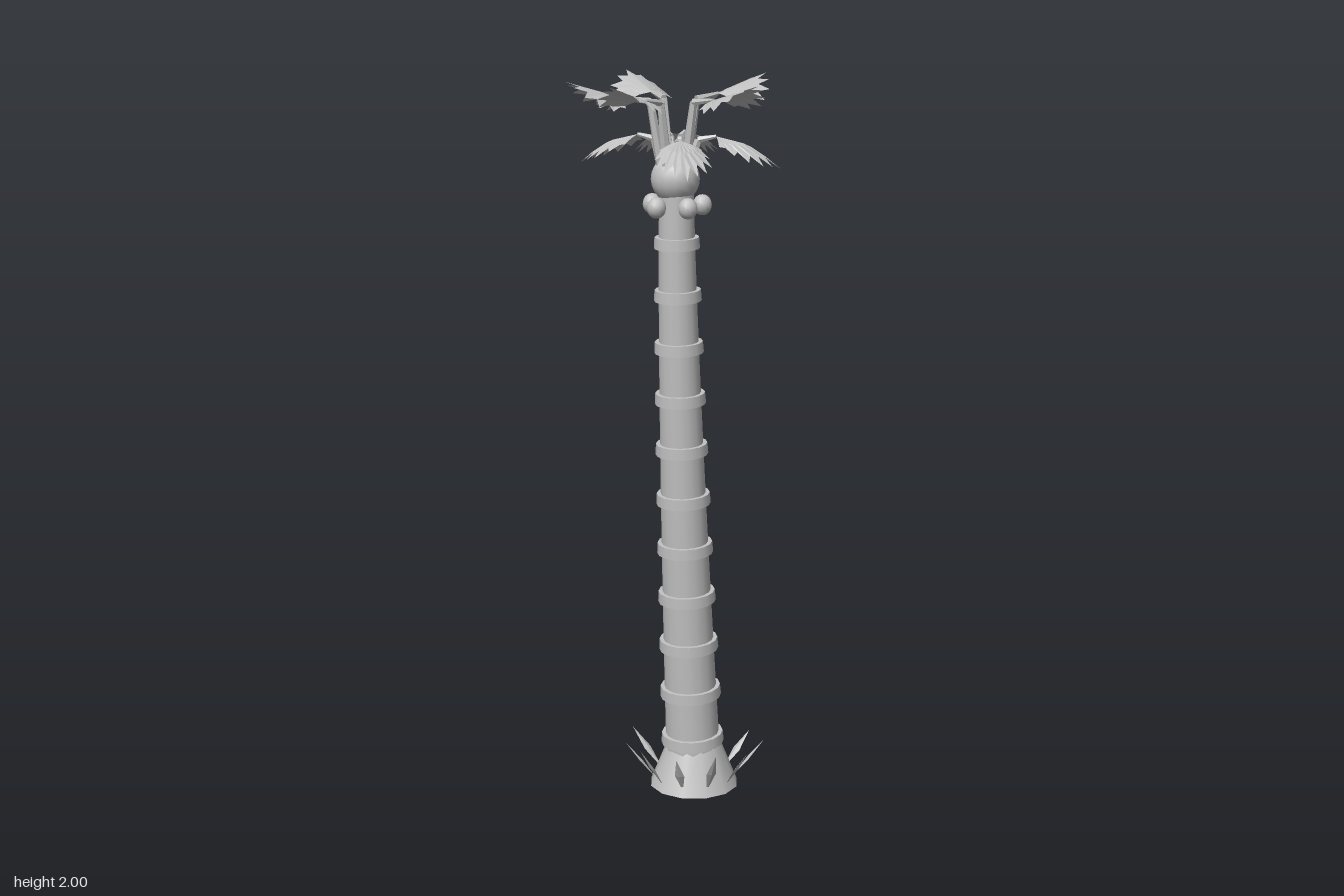
import * as THREE from 'three';

const grey = new THREE.MeshStandardMaterial({ color: 0xc0c0c0 });
grey.name = 'grey';
const leafGrey = new THREE.MeshStandardMaterial({ color: 0xc0c0c0, flatShading: true, side: THREE.DoubleSide });
leafGrey.name = 'leafGrey';

const V = (x, y, z) => new THREE.Vector3(x, y, z);
const UP = V(0, 1, 0);

function add(parent, name, geometry, material = grey) {
  const mesh = new THREE.Mesh(geometry, material);
  mesh.name = name;
  parent.add(mesh);
  return mesh;
}

// tapered cylinder running from point a to point b
function limb(parent, name, a, b, ra, rb, sides, material) {
  const dir = b.clone().sub(a);
  const mesh = add(parent, name, new THREE.CylinderGeometry(rb, ra, dir.length(), sides), material);
  mesh.position.copy(a).add(b).multiplyScalar(0.5);
  mesh.quaternion.setFromUnitVectors(UP, dir.normalize());
}

// half outline of a fan leaf: [degrees from midrib, length], tips and notches alternating
const HALF = [[80, 0.066], [68, 0.07], [60, 0.1], [50, 0.088], [45, 0.124], [34, 0.104],
  [29, 0.138], [19, 0.112], [14, 0.146], [6, 0.122]];
const OUTLINE = [...HALF, [0, 0.16], ...HALF.map(([a, l]) => [-a, l]).reverse()];

// fan leaf growing along +x; height(u, v) bends the blade
function leafGeometry(scale, width, height) {
  const at = (i, t) => {
    const [deg, len] = OUTLINE[i];
    const a = THREE.MathUtils.degToRad(deg);
    const u = Math.cos(a) * len * t * scale, v = Math.sin(a) * len * t * scale * width;
    return [u, height(u, v), v];
  };
  const pos = [];
  for (let i = 0; i < OUTLINE.length - 1; i++) {
    const a = at(i, 0.55), b = at(i + 1, 0.55), c = at(i, 1), d = at(i + 1, 1);
    pos.push(0, 0, 0, ...a, ...b, ...a, ...c, ...d, ...a, ...d, ...b);
  }
  const g = new THREE.BufferGeometry();
  g.setAttribute('position', new THREE.Float32BufferAttribute(pos, 3));
  g.computeVertexNormals();
  return g;
}

// stalk with a bend, carrying one leaf
function frond(parent, name, degrees, kink, base, geometry) {
  const g = new THREE.Group();
  g.name = name;
  g.position.set(0, 0, -0.01);
  g.rotation.y = -THREE.MathUtils.degToRad(degrees);
  limb(g, 'stalk', V(0.036, 1.76, 0), kink, 0.015, 0.01, 6, leafGrey);
  limb(g, 'leafStem', kink, base, 0.01, 0.005, 6, leafGrey);
  add(g, 'leaf', geometry, leafGrey).position.copy(base);
  parent.add(g);
}

export function createModel() {
  const palm = new THREE.Group();
  palm.name = 'palmTree';

  // leaning trunk: centre line and radius by height
  const centre = (y) => {
    const t = Math.max(0, 1 - y / 1.7);
    return V(0.084 * Math.pow(t, 1.35), y, -0.006 - 0.012 * t);
  };
  const radius = (y) => 0.046 + 0.032 * (1 - y / 1.7);
  const trunk = new THREE.Group();
  trunk.name = 'trunk';
  palm.add(trunk);

  const joints = [0.05];
  for (let i = 0; i < 11; i++) joints.push(0.143 + i * 0.1423);
  joints.push(1.71);
  for (let i = 0; i < joints.length - 1; i++) {
    const y0 = joints[i], y1 = joints[i + 1];
    limb(trunk, 'trunkSection', centre(y0), centre(y1), radius(y0), radius(y1), 16);
    if (i === 0) continue;
    // raised ring around each joint
    limb(trunk, 'trunkRing', centre(y0 - 0.015), centre(y0 + 0.015), radius(y0) + 0.013, radius(y0) + 0.011, 16);
  }

  // flared foot
  const foot = add(palm, 'foot', new THREE.CylinderGeometry(0.078, 0.126, 0.12, 12));
  foot.position.set(0.082, 0.06, -0.018);

  // pointed blades of grass around the foot, leaning further on one side
  for (let i = 0; i < 10; i++) {
    const angle = (i + 0.2) * Math.PI / 5;
    const lean = 0.5 + 0.18 * (1 + Math.cos(angle + 0.8));
    const length = i % 2 ? 0.15 : 0.135;
    const g = new THREE.Group();
    g.name = 'grassBlade';
    g.position.set(0.085, 0, -0.022);
    g.rotation.y = -angle;
    const blade = add(g, 'blade', new THREE.OctahedronGeometry(1), leafGrey);
    blade.scale.set(0.004, length / 2, 0.014);
    blade.position.set(0.108 + Math.sin(lean) * length / 2, 0.012 + Math.cos(lean) * length / 2, 0);
    blade.rotation.z = -lean;
    palm.add(g);
  }

  // crown ball and the fruit under it
  add(palm, 'crown', new THREE.SphereGeometry(0.065, 16, 12)).position.set(0, 1.735, -0.01);
  for (let i = 0; i < 5; i++) {
    const a = Math.PI + i * Math.PI * 0.4;
    const fruit = add(palm, 'fruit', new THREE.SphereGeometry(0.026, 12, 8));
    fruit.position.set(Math.cos(a) * 0.071, 1.665, -0.008 + Math.sin(a) * 0.071);
    fruit.scale.y = 1.08;
  }

  // upper fronds: leaves tilted upward with arched sides
  const upper = leafGeometry(1, 1, (u, v) => 0.29 * u - 0.1 * Math.abs(v) - 4.2 * v * v);
  for (const deg of [9, 90, 168, 208, -72])
    frond(palm, 'upperFrond', deg, V(0.068, 1.94, 0), V(0.14, 1.951, 0), upper);

  // lower fronds: narrower leaves drooping toward the tip and sides
  const lower = leafGeometry(1.06, 0.78, (u, v) => -0.05 * u - 2.6 * u * u - 0.2 * Math.abs(v) - 3.5 * v * v);
  for (const deg of [-32, -57, 50, 128, -112])
    frond(palm, 'lowerFrond', deg, V(0.06, 1.838, 0), V(0.108, 1.848, 0), lower);

  return palm;
}
